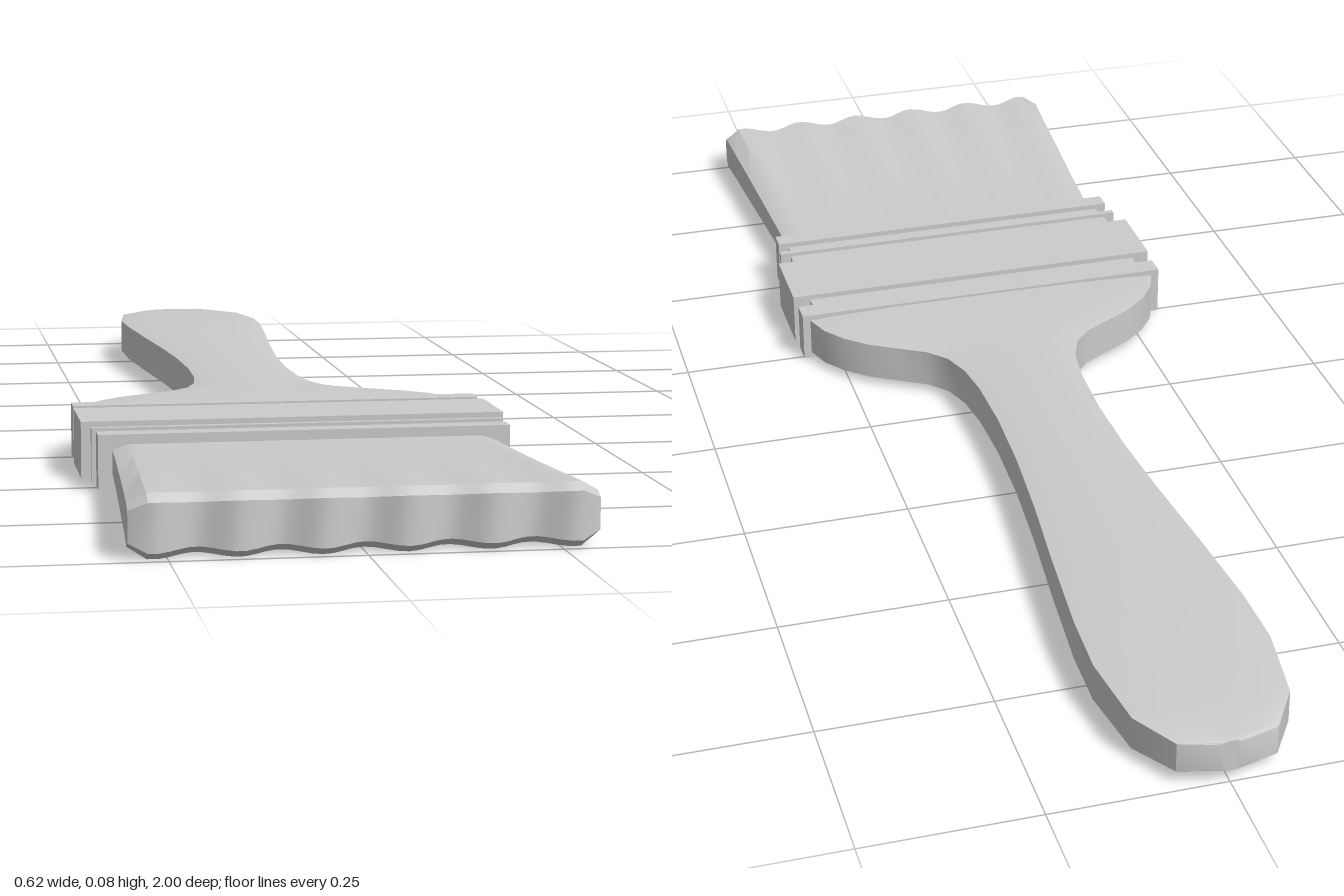
import * as THREE from 'three';
import { mergeVertices, toCreasedNormals } from 'three/addons/utils/BufferGeometryUtils.js';

const MID = 0.045;
const material = new THREE.MeshStandardMaterial({ color: 0xcccccc });

// Skin a list of equal-length loops (counterclockwise, running along +z).
// Each loop is a bottom row followed by the matching top row reversed.
function loft(loops, crease) {
  const n = loops[0].length;
  const index = [];
  for (let i = 0; i < loops.length - 1; i++) {
    for (let j = 0; j < n; j++) {
      const a = i * n + j, b = i * n + (j + 1) % n;
      index.push(a, b, b + n, a, b + n, a + n);
    }
  }
  // End caps as strips between bottom and top rows
  const last = (loops.length - 1) * n;
  for (let j = 0; j < n / 2 - 1; j++) {
    const a = j, b = j + 1, c = n - 2 - j, d = n - 1 - j;
    index.push(a, c, b, a, d, c);
    index.push(last + a, last + b, last + c, last + a, last + c, last + d);
  }
  let geometry = new THREE.BufferGeometry();
  geometry.setAttribute('position', new THREE.Float32BufferAttribute(loops.flat(2), 3));
  geometry.setIndex(index);
  geometry = mergeVertices(geometry);
  return toCreasedNormals(geometry, crease);
}

// Build a loop from x fractions and a function giving [x, halfHeight, z]
function section(fractions, rule) {
  const rows = fractions.map(rule);
  const bottom = rows.map(([x, h, z]) => [x, MID - h, z]);
  const top = rows.map(([x, h, z]) => [x, MID + h, z]).reverse();
  return [...bottom, ...top];
}

function addMesh(group, name, geometry) {
  const mesh = new THREE.Mesh(geometry, material);
  mesh.name = name;
  group.add(mesh);
  return mesh;
}

function createHandle() {
  // z, half width, half height
  const profile = [
    [-1, 0.015, 0.024], [-0.985, 0.07, 0.026], [-0.92, 0.11, 0.029], [-0.8, 0.126, 0.033],
    [-0.7, 0.123, 0.035], [-0.55, 0.11, 0.035], [-0.4, 0.095, 0.035], [-0.27, 0.085, 0.035],
    [-0.15, 0.081, 0.035], [-0.05, 0.084, 0.035], [0.01, 0.092, 0.035], [0.055, 0.108, 0.035],
    [0.085, 0.135, 0.035], [0.11, 0.178, 0.035], [0.135, 0.22, 0.035], [0.165, 0.254, 0.035],
    [0.2, 0.28, 0.035], [0.25, 0.298, 0.035],
  ];
  const across = [-1, -0.85, -0.5, 0, 0.5, 0.85, 1];
  const loops = profile.map(([z, w, h]) =>
    section(across, (f) => [f * w, h * (1 - 0.15 * f ** 4), z]));
  return loft(loops, 0.7);
}

function createBristles() {
  // z, half width, half height, ripple strength
  const profile = [
    [0.5, 0.272, 0.024, 0], [0.65, 0.28, 0.028, 0.2], [0.8, 0.289, 0.034, 0.5],
    [0.9, 0.295, 0.037, 0.8], [0.975, 0.3, 0.04, 1], [0.99, 0.3, 0.03, 1],
  ];
  const across = [-1];
  for (let i = 0; i <= 40; i++) across.push(-0.92 + i * 0.046);
  across.push(1);
  const loops = profile.map(([z, w, h, ripple]) => section(across, (f) => {
    const wave = -Math.cos(f * 0.3 * 2 * Math.PI / 0.107) * ripple;
    const corner = Math.abs(f) === 1 ? 0.7 : 1;
    return [f * w, (h + wave * 0.002) * corner, z + wave * (z > 0.95 ? 0.009 : 0)];
  }));
  return loft(loops, 0.45);
}

export function createModel() {
  const group = new THREE.Group();
  group.name = 'paintbrush';
  addMesh(group, 'handle', createHandle());
  addMesh(group, 'bristles', createBristles());

  // Metal ferrule: wide bands separated by recessed necks
  const bands = [
    // name, start z, end z, half width, half height
    ['rearRim', 0.24, 0.275, 0.307, 0.039],
    ['rearNeck', 0.275, 0.305, 0.281, 0.033],
    ['mainBand', 0.305, 0.432, 0.309, 0.041],
    ['middleNeck', 0.432, 0.467, 0.281, 0.033],
    ['thinRib', 0.467, 0.477, 0.298, 0.039],
    ['frontNeck', 0.477, 0.505, 0.277, 0.031],
    ['frontRim', 0.505, 0.535, 0.294, 0.039],
  ];
  const ferrule = new THREE.Group();
  ferrule.name = 'ferrule';
  for (const [name, z0, z1, w, h] of bands) {
    const band = addMesh(ferrule, name, new THREE.BoxGeometry(w * 2, h * 2, z1 - z0));
    band.position.set(0, MID, (z0 + z1) / 2);
  }
  group.add(ferrule);
  return group;
}
